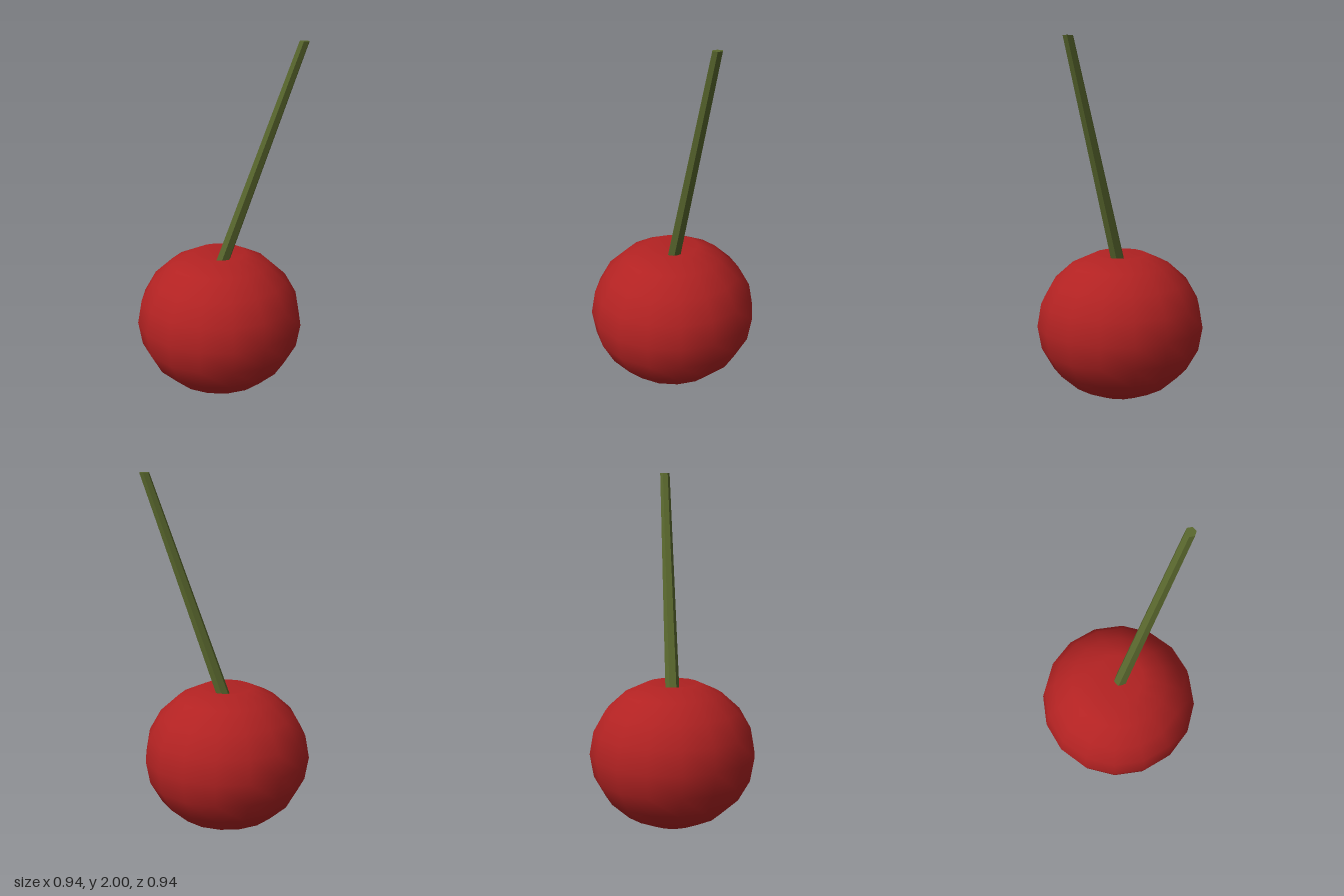
import * as THREE from 'three';
import { mergeVertices } from 'three/addons/utils/BufferGeometryUtils.js';

const RADIUS = 0.47, SQUASH = 0.9, DIMPLE_Y = 0.76;
const STEM_BASE = 0.72, STEM_TOP = 2, STEM_LEAN = 0.445;

// Squashed low-poly ball whose top pole is pushed down into a dimple
function fruitGeometry() {
  let geo = new THREE.SphereGeometry(RADIUS, 16, 10);
  geo.scale(1, SQUASH, 1);
  geo.translate(0, RADIUS * SQUASH, 0);
  const p = geo.attributes.position;
  for (let i = 0; i < p.count; i++) {
    if (p.getY(i) > RADIUS * SQUASH * 1.98) p.setY(i, DIMPLE_Y);
  }
  // weld the seam and poles so the shading stays smooth
  geo.deleteAttribute('uv');
  geo.deleteAttribute('normal');
  geo = mergeVertices(geo, 1e-4);
  geo.computeVertexNormals();
  return geo;
}

// Tapered six-sided stalk, sheared sideways so its ends stay level
function stemGeometry() {
  const height = STEM_TOP - STEM_BASE;
  const geo = new THREE.CylinderGeometry(0.028, 0.04, height, 6);
  geo.translate(0, height / 2, 0);
  const p = geo.attributes.position;
  for (let i = 0; i < p.count; i++) {
    p.setX(i, p.getX(i) + STEM_LEAN * p.getY(i) / height);
  }
  geo.translate(0, STEM_BASE, 0);
  const flat = geo.toNonIndexed();
  flat.computeVertexNormals();
  return flat;
}

export function createModel() {
  const red = new THREE.MeshStandardMaterial({ color: 0xb22222 });
  red.name = 'cherryRed';
  const green = new THREE.MeshStandardMaterial({ color: 0x5a682e });
  green.name = 'stemGreen';

  const group = new THREE.Group();
  group.name = 'cherry';
  const fruit = new THREE.Mesh(fruitGeometry(), red);
  fruit.name = 'fruit';
  const stem = new THREE.Mesh(stemGeometry(), green);
  stem.name = 'stem';
  group.add(fruit, stem);
  return group;
}
